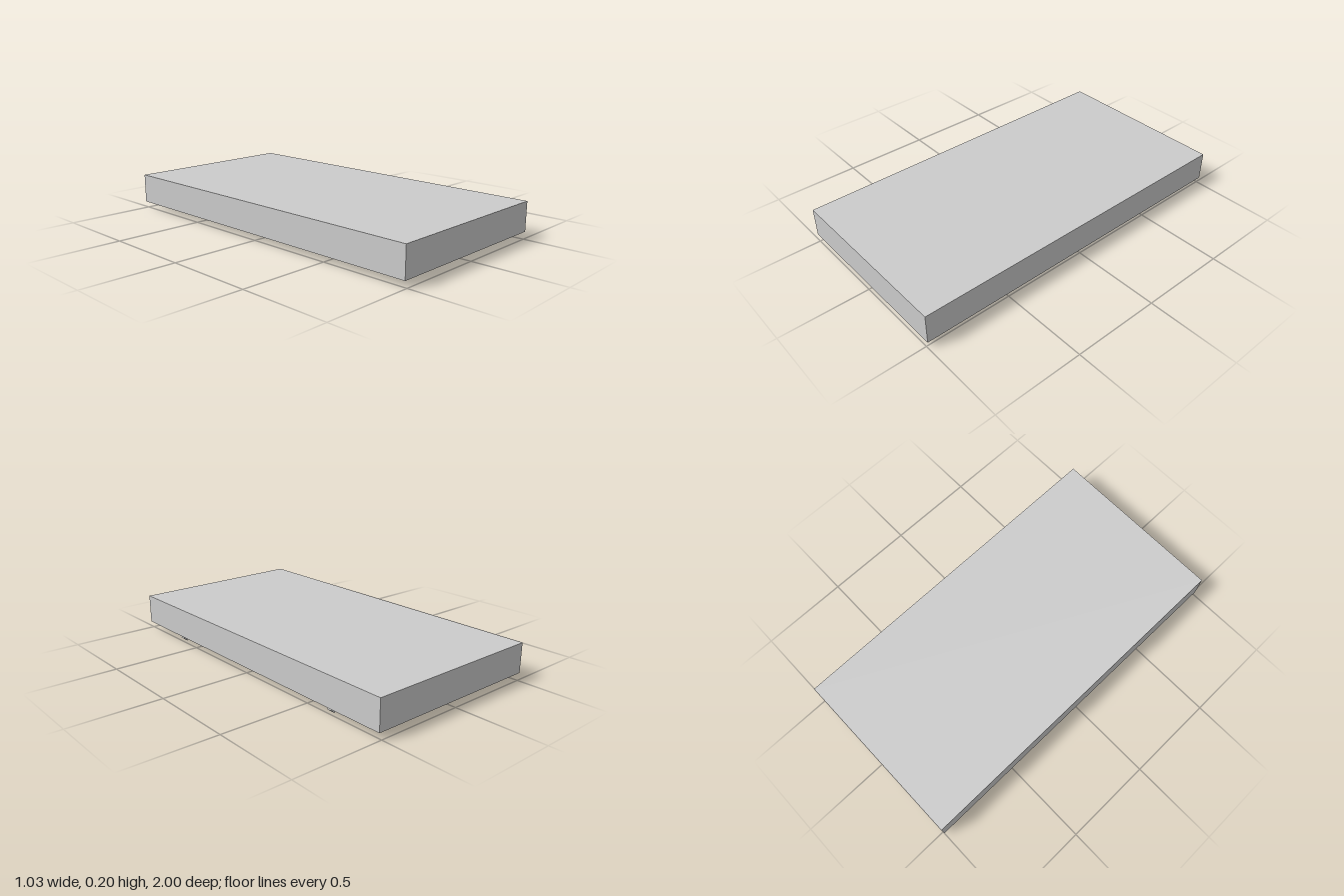
import * as THREE from 'three';

export function createModel() {
  const model = new THREE.Group();
  const mat = new THREE.MeshStandardMaterial({ color: 0xcccccc });

  function add(name, geometry, x, y, z, parent = model) {
    const mesh = new THREE.Mesh(geometry, mat);
    mesh.name = name;
    mesh.position.set(x, y, z);
    parent.add(mesh);
    return mesh;
  }
  // Box given by its lower and upper corners
  function box(name, a, b, parent) {
    const size = b.map((v, i) => v - a[i]);
    const mid = b.map((v, i) => (v + a[i]) / 2);
    return add(name, new THREE.BoxGeometry(...size), ...mid, parent);
  }

  const W = 0.515, L = 1, T = 0.09, BOTTOM = 0.038, RIM = 0.193, TOP = 0.205;
  const inner = W - T;

  // Top sheet and the thick core under it, which closes the hollow
  box('topPanel', [-W, RIM, -L], [W, TOP, L]);
  box('core', [-inner, 0.148, -L + T], [inner, RIM, L - T]);

  // Frame boards: the long sides run through, the end boards butt between them
  for (const s of [-1, 1]) {
    add(s > 0 ? 'leftBoard' : 'rightBoard',
      new THREE.BoxGeometry(T, RIM - BOTTOM, 2 * L), s * (W - T / 2), (RIM + BOTTOM) / 2, 0);
    add(s > 0 ? 'frontBoard' : 'backBoard',
      new THREE.BoxGeometry(2 * inner, RIM - BOTTOM, T), 0, (RIM + BOTTOM) / 2, s * (L - T / 2));
  }

  // Hooks with mounting plates under the left board
  const profile = new THREE.Shape([
    [0.461, 0.038], [0.489, 0.038], [0.497, 0.018], [0.475, 0], [0.466, 0.014],
  ].map(([x, y]) => new THREE.Vector2(x, y)));
  for (const z of [-0.655, 0.655]) {
    const hook = new THREE.Group();
    hook.name = 'hookAssembly';
    model.add(hook);
    box('hookPlate', [0.445, 0.036, z - 0.15], [0.495, 0.039, z + 0.15], hook);
    const geo = new THREE.ExtrudeGeometry(profile, { depth: 0.026, bevelEnabled: false });
    add('hook', geo, 0, 0, z - 0.013, hook);
  }

  // Angled latch plate on the right board, with screws and a catch knob
  const latch = new THREE.Group();
  latch.name = 'latch';
  model.add(latch);
  box('latchFlange', [-0.48, 0.032, -0.268], [-0.421, 0.038, 0.268], latch);
  box('latchWallPlate', [-inner, 0.032, -0.268], [-0.421, 0.12, 0.268], latch);
  for (const z of [-0.24, 0.24]) {
    add('screwHead', new THREE.CylinderGeometry(0.016, 0.011, 0.005, 20), -0.453, 0.0295, z, latch);
  }
  add('knobCollar', new THREE.CylinderGeometry(0.018, 0.018, 0.006, 24), -0.453, 0.029, 0, latch);
  add('knob', new THREE.CylinderGeometry(0.014, 0.014, 0.006, 24), -0.453, 0.023, 0, latch);

  return model;
}
